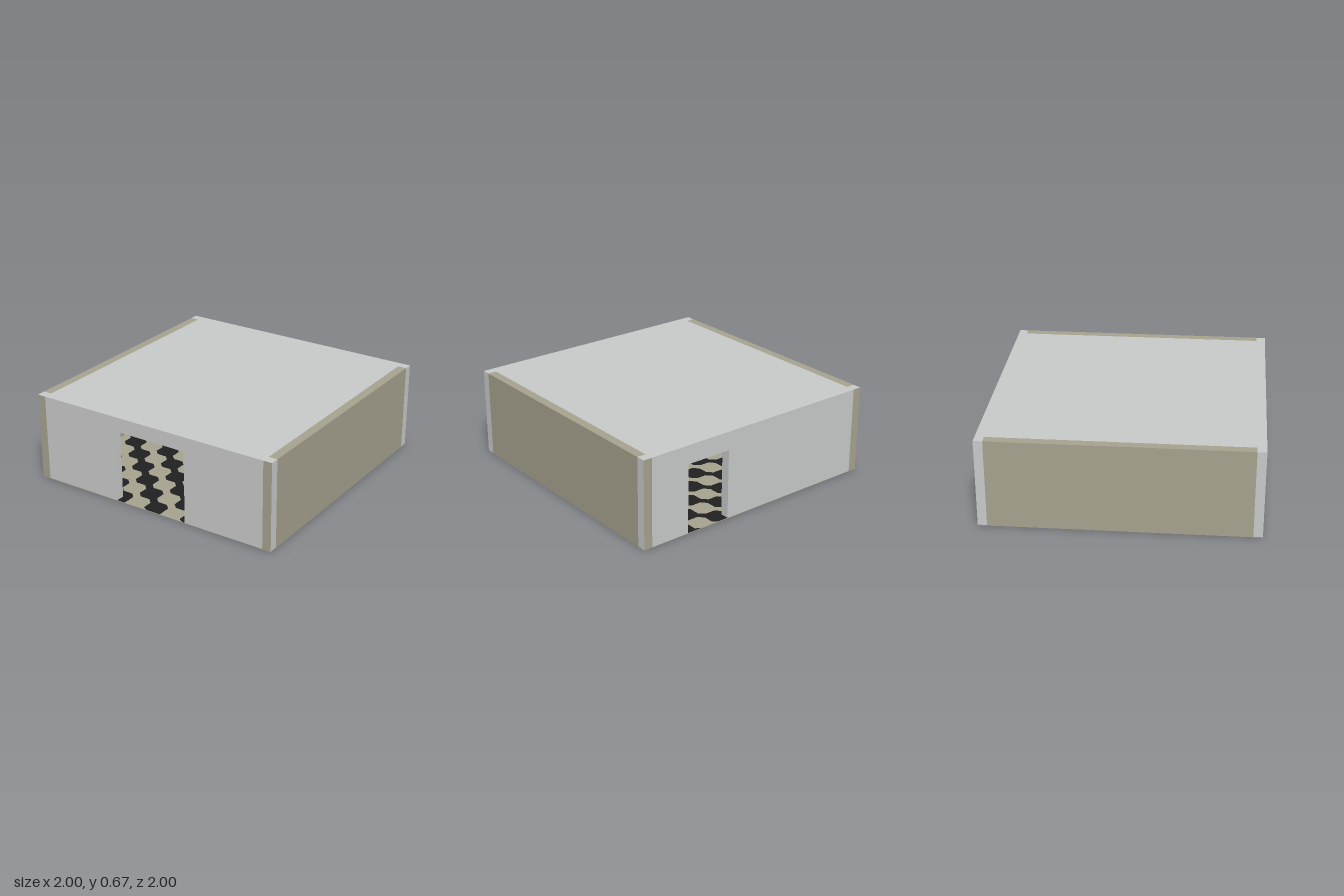
import * as THREE from 'three';

const H = 0.667;        // wall height
const T = 0.0667;       // wall thickness
const IN = 1 - T;       // inner half width
const BASE = 0.004;     // walls stand on the floor slab
const TILE = 0.15625;   // floor pattern cell

export function createModel() {
  const grey = new THREE.MeshStandardMaterial({ color: 0xc8c9c9 });
  grey.name = 'paleGrey';
  const tan = new THREE.MeshStandardMaterial({ color: 0xa6a28f });
  tan.name = 'tan';
  const black = new THREE.MeshStandardMaterial({ color: 0x202020 });
  black.name = 'black';

  const room = new THREE.Group();
  room.name = 'room';
  const add = (name, geometry, material, x = 0, y = 0, z = 0) => {
    const mesh = new THREE.Mesh(geometry, material);
    mesh.name = name;
    mesh.position.set(x, y, z);
    room.add(mesh);
    return mesh;
  };

  // Grey end walls, each with a doorway open to the floor
  const doorWall = (name, x0, x1, top, z) => {
    const shape = new THREE.Shape([
      [-IN, BASE], [x0, BASE], [x0, top], [x1, top],
      [x1, BASE], [IN, BASE], [IN, H], [-IN, H],
    ].map(([x, y]) => new THREE.Vector2(x, y)));
    add(name, new THREE.ExtrudeGeometry(shape, { depth: T, bevelEnabled: false }), grey, 0, 0, z);
  };
  doorWall('frontWall', -0.3, 0.295, 0.557, IN);
  doorWall('backWall', 0.27, 0.625, 0.527, -1);

  // Tan side walls and two-coloured corner posts
  const wallH = H - BASE;
  const midY = BASE + wallH / 2;
  const postColours = [grey, grey, grey, grey, tan, tan];
  for (const side of [-1, 1]) {
    add(side > 0 ? 'leftWall' : 'rightWall',
      new THREE.BoxGeometry(T, wallH, 2 * IN), tan, side * (1 - T / 2), midY, 0);
    for (const end of [-1, 1]) {
      add('cornerPost', new THREE.BoxGeometry(T, wallH, T), postColours,
        side * (1 - T / 2), midY, end * (1 - T / 2));
    }
  }

  // Ceiling
  add('ceiling', new THREE.BoxGeometry(2 * IN, 0.006, 2 * IN), grey, 0, H - 0.003, 0);

  // Floor slab
  add('floor', new THREE.BoxGeometry(2, 0.004, 2), tan, 0, 0.003, 0);

  // Black checks, joined corner to corner along one diagonal
  const h = TILE / 2;
  const c = TILE * 0.25;
  const outline = [
    [h - c, -h], [h, c - h], [h, h - c], [h + c, h], [h, h], [h, h + c],
    [h - c, h], [c - h, h], [-h, h - c], [-h, -h],
  ];
  const clamp = (v) => Math.max(-1, Math.min(1, v));
  const checks = [];
  for (let i = -6; i <= 6; i++) {
    for (let j = -6; j <= 6; j++) {
      if ((i + j) % 2 !== 0) continue;
      checks.push(new THREE.Shape(outline.map(([x, y]) =>
        new THREE.Vector2(clamp(x + i * TILE), clamp(y + j * TILE)))));
    }
  }
  const pattern = new THREE.ShapeGeometry(checks);
  // Pattern y becomes +z below; the top copy is its mirror in z, turned over
  const under = add('floorPatternBelow', pattern, black, 0, 0, 0);
  under.rotation.x = Math.PI / 2;
  const upper = add('floorPatternAbove', pattern, black, 0, 0.006, 0);
  upper.rotation.x = -Math.PI / 2;
  // Swap the running diagonal on both faces
  under.rotation.z = Math.PI / 2;
  upper.rotation.z = Math.PI / 2;

  return room;
}
